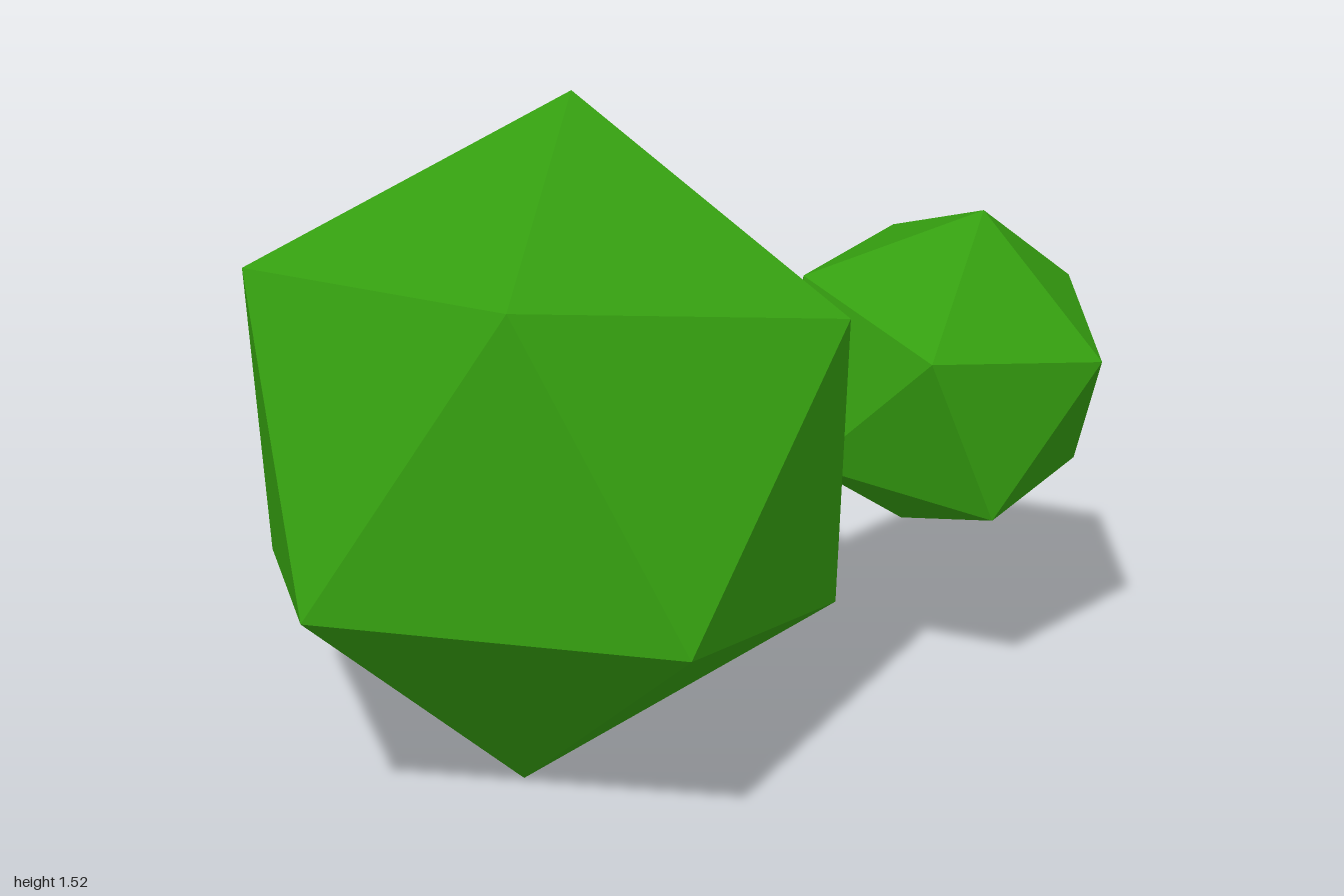
import * as THREE from 'three';

const leafMaterial = new THREE.MeshStandardMaterial({ color: 0x359f10, flatShading: true });

// A regular icosahedron turned so that one of its edges runs between
// the two given corner directions (measured from its centre).
function foliage(name, radius, centre, cornerA, cornerB) {
  const a = new THREE.Vector3(...cornerA).normalize();
  const b = new THREE.Vector3(...cornerB).normalize();
  const along = b.clone().sub(a).normalize();
  const out = a.clone().add(b).normalize();
  const side = along.clone().cross(out);

  const mesh = new THREE.Mesh(new THREE.IcosahedronGeometry(radius, 0), leafMaterial);
  mesh.name = name;
  mesh.quaternion.setFromRotationMatrix(new THREE.Matrix4().makeBasis(along, out, side));
  mesh.position.set(...centre);
  return mesh;
}

export function createModel() {
  const group = new THREE.Group();
  group.name = 'bush';
  group.add(
    // main clump at the front
    foliage('largeFoliage', 0.78, [-0.152, 0.762, 0.257], [-0.03, 0.76, -0.17], [0.25, 0.49, 0.555]),
    // smaller clump behind it
    foliage('smallFoliage', 0.425, [0.415, 0.762, -0.625], [0.105, 0.41, 0.02], [0.415, 0.095, 0.025]),
  );
  return group;
}
